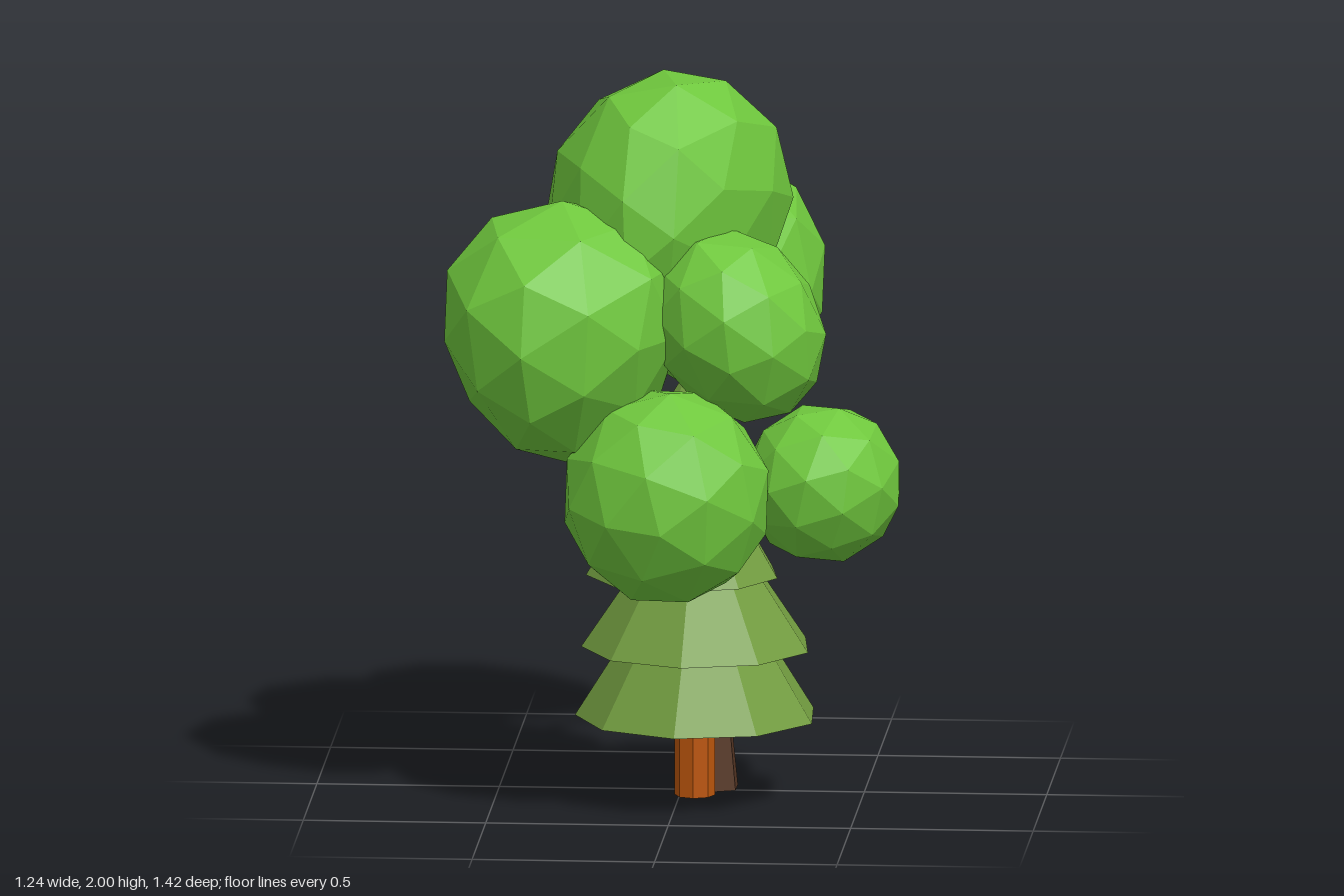
import * as THREE from 'three';

const flat = (name, color) =>
  new THREE.MeshStandardMaterial({ name, color, flatShading: true });

export function createModel() {
  const model = new THREE.Group();
  model.name = 'trees';
  const leaf = flat('leafGreen', 0x6fc73d);
  const needle = flat('needleGreen', 0x729c40);
  const bark = flat('darkBark', 0x553624);
  const wood = flat('orangeWood', 0xbc560c);

  const add = (parent, name, geometry, material) => {
    const mesh = new THREE.Mesh(geometry, material);
    mesh.name = name;
    parent.add(mesh);
    return mesh;
  };

  // Fir: short trunk and four stacked nine-sided skirts
  const fir = new THREE.Group();
  fir.name = 'firTree';
  model.add(fir);
  add(fir, 'firTrunk', new THREE.CylinderGeometry(0.055, 0.055, 0.26, 8), wood)
    .position.set(0.045, 0.14, 0.13);
  const skirts = [ // bottom y, top y, bottom radius, top radius, centre x
    [0.23, 0.46, 0.335, 0.19, 0.052],
    [0.424, 0.67, 0.318, 0.15, 0.052],
    [0.625, 0.89, 0.267, 0.11, 0.013],
    [0.845, 1.2, 0.23, 0.008, 0.035],
  ];
  skirts.forEach(([y0, y1, r0, r1, x], i) => {
    const skirt = new THREE.CylinderGeometry(r1, r0, y1 - y0, 9, 1, false, -0.12 + i * 0.05);
    add(fir, 'firSkirt' + (i + 1), skirt, needle).position.set(x, (y0 + y1) / 2, 0.122);
  });

  // Leafy tree: tapered limbs, each a chain of [x, y, z, radius] points
  const tree = new THREE.Group();
  tree.name = 'leafyTree';
  model.add(tree);
  const limb = (name, points) => {
    const group = new THREE.Group();
    group.name = name;
    tree.add(group);
    for (let i = 1; i < points.length; i++) {
      const a = new THREE.Vector3(...points[i - 1]);
      const b = new THREE.Vector3(...points[i]);
      const dir = b.clone().sub(a);
      const piece = add(group, name + 'Piece',
        new THREE.CylinderGeometry(points[i][3], points[i - 1][3], dir.length(), 6), bark);
      piece.position.copy(a).add(b).multiplyScalar(0.5);
      piece.quaternion.setFromUnitVectors(new THREE.Vector3(0, 1, 0), dir.normalize());
    }
  };
  limb('trunk', [[0.07, 0, -0.032, 0.09], [0.075, 0.26, -0.036, 0.056], [0.1, 0.6, -0.025, 0.054],
    [0.07, 0.78, 0.035, 0.042], [0.065, 0.97, 0.002, 0.034], [0.07, 1.1, -0.03, 0.027],
    [0.02, 1.28, -0.075, 0.014]]);
  limb('backBranch', [[0.07, 1.08, -0.02, 0.024], [0.235, 1.04, -0.28, 0.016], [0.235, 1.11, -0.385, 0.008]]);
  limb('leftBranch', [[0.09, 0.9, 0.04, 0.024], [0.25, 0.92, 0.15, 0.016], [0.36, 0.94, 0.2, 0.01]]);
  limb('rightBranch', [[0.06, 0.92, 0.04, 0.022], [-0.1, 0.94, 0.04, 0.016], [-0.25, 0.985, 0.02, 0.01]]);
  limb('upperBranch', [[0.07, 1.04, 0, 0.02], [-0.07, 1.06, 0.03, 0.015], [-0.2, 1.14, 0.03, 0.009]]);

  // Crown: faceted blobs, reshaped by a rule, then fitted to centre and half sizes
  const blob = (name, centre, half, turn, reshape = () => {}) => {
    const g = new THREE.IcosahedronGeometry(1, 1);
    g.rotateX(turn).rotateY(turn * 1.7).rotateZ(turn * 0.6);
    const p = g.attributes.position;
    const v = new THREE.Vector3();
    for (let i = 0; i < p.count; i++) {
      reshape(v.fromBufferAttribute(p, i));
      p.setXYZ(i, v.x, v.y, v.z);
    }
    g.center();
    g.computeBoundingBox();
    const m = g.boundingBox.max;
    g.scale(half[0] / m.x, half[1] / m.y, half[2] / m.z);
    add(tree, name, g, leaf).position.set(...centre);
  };
  // narrows upward and towards the front, with its peak set forward
  blob('topCrown', [-0.042, 1.62, 0.01], [0.34, 0.38, 0.39], 0.5, (v) => {
    v.x *= 1 - 0.22 * v.z;
    v.x += 0.1 * (v.y - v.z);
    v.z *= 1 - 0.18 * v.y;
    v.z += 0.12 * v.y;
  });
  // narrows downward
  blob('rightCrown', [-0.3, 1.328, 0.285], [0.32, 0.365, 0.355], 1.2, (v) => {
    v.x *= 1 + 0.2 * v.y;
    v.x -= 0.1 * v.z;
  });
  blob('backCrown', [0.072, 1.355, -0.412], [0.288, 0.325, 0.298], 2.1);
  // leans outward at the bottom
  blob('leftCrown', [0.172, 1.35, 0.276], [0.245, 0.26, 0.244], 2.9, (v) => { v.x -= 0.18 * v.y; });
  blob('frontLowCrown', [-0.01, 0.902, 0.43], [0.28, 0.297, 0.28], 3.6);
  blob('leftLowCrown', [0.405, 0.905, 0.235], [0.21, 0.215, 0.235], 4.4);
  blob('smallBackCrown', [-0.265, 1.23, -0.085], [0.172, 0.172, 0.172], 5.3);

  return model;
}
